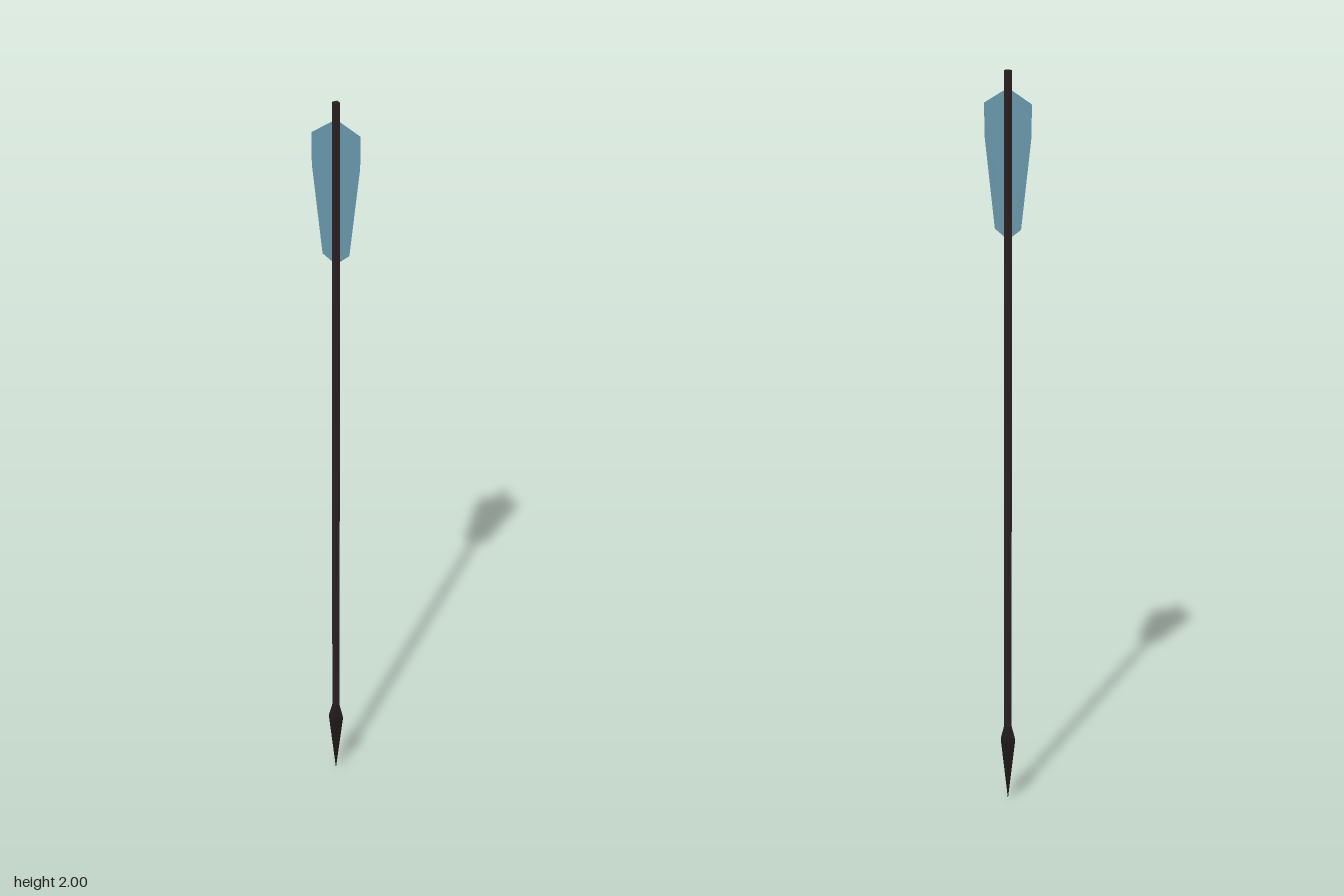
import * as THREE from 'three';

const mat = (name, color, extra = {}) => {
  const m = new THREE.MeshStandardMaterial({ color, ...extra });
  m.name = name;
  return m;
};

export function createModel() {
  const group = new THREE.Group();
  const wood = mat('dark wood', 0x2c2224, { flatShading: true });
  const iron = mat('dark iron', 0x241b1c, { flatShading: true });
  const feather = mat('blue feather', 0x6896a9, { side: THREE.DoubleSide });

  const add = (name, geometry, material, y = 0) => {
    const mesh = new THREE.Mesh(geometry, material);
    mesh.name = name;
    mesh.position.y = y;
    group.add(mesh);
  };

  // Four-sided shaft with its corners on the x and z axes
  add('shaft', new THREE.CylinderGeometry(0.0105, 0.0105, 1.8, 4), wood, 1.1);

  // Four-sided pointed head: tip, widest point, then shoulder narrowing to the shaft
  const profile = [[0, 0], [0.02, 0.17], [0.0195, 0.18], [0.0105, 0.215]];
  add('arrowhead', new THREE.LatheGeometry(profile.map(([r, y]) => new THREE.Vector2(r, y)), 4), iron);

  // One flat vane on each side of the shaft
  for (const [name, s] of [['leftVane', 1], ['rightVane', -1]]) {
    const outline = [[0, 1.955], [0.063, 1.915], [0.062, 1.83], [0.035, 1.59], [0.01, 1.57], [0, 1.567]];
    const shape = new THREE.Shape(outline.map(([x, y]) => new THREE.Vector2(s * x, y)));
    add(name, new THREE.ShapeGeometry(shape), feather);
  }
  return group;
}
